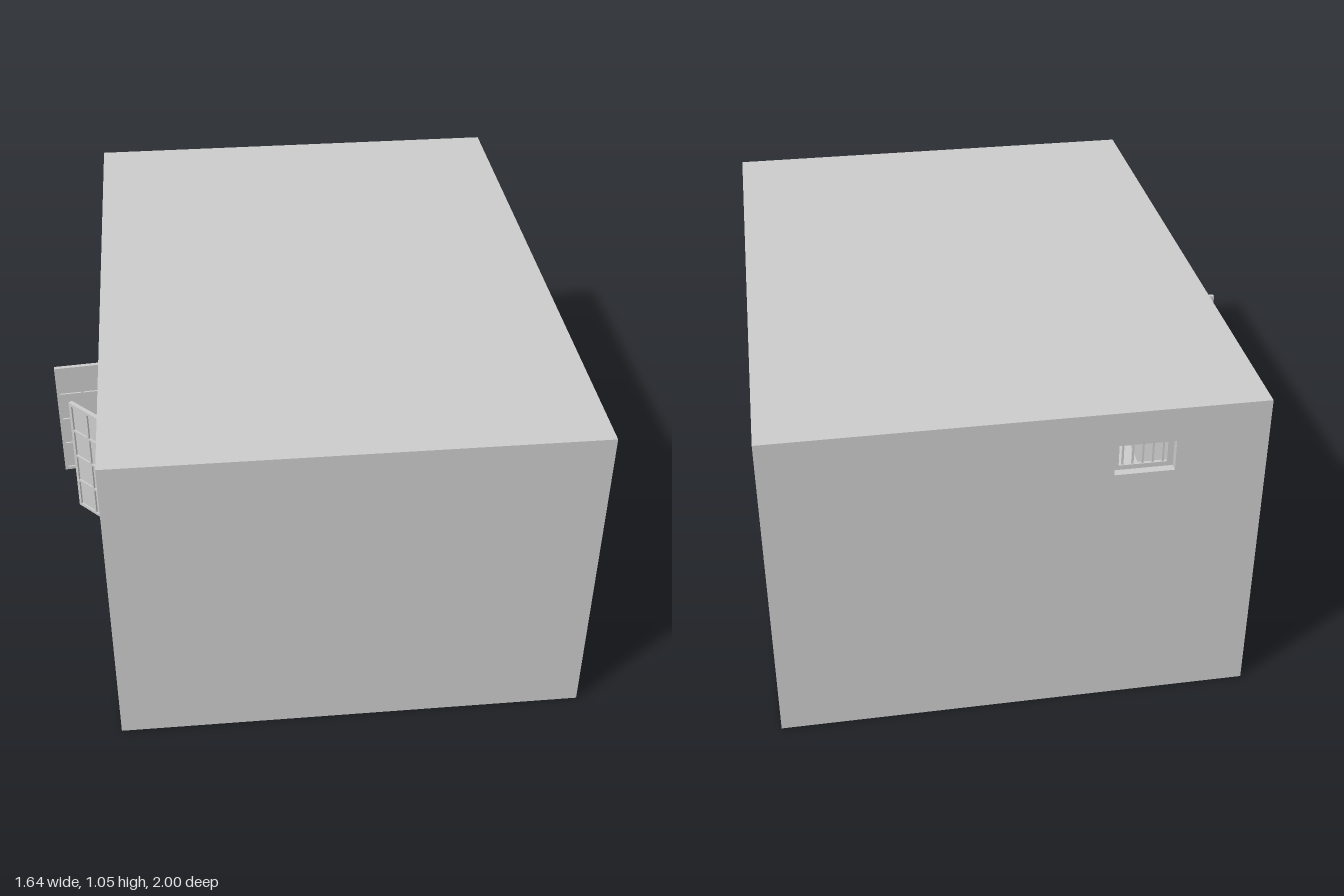
import * as THREE from 'three';

const grey = new THREE.MeshStandardMaterial({ color: 0xcccccc, side: THREE.DoubleSide });

function mesh(parent, name, geometry) {
  const m = new THREE.Mesh(geometry, grey);
  m.name = name;
  parent.add(m);
  return m;
}

// Box given by its minimum and maximum corners
function box(parent, name, [x0, y0, z0], [x1, y1, z1]) {
  const m = mesh(parent, name, new THREE.BoxGeometry(x1 - x0, y1 - y0, z1 - z0));
  m.position.set((x0 + x1) / 2, (y0 + y1) / 2, (z0 + z1) / 2);
  return m;
}

function rect(target, x0, y0, x1, y1) {
  target.moveTo(x0, y0);
  target.lineTo(x1, y0);
  target.lineTo(x1, y1);
  target.lineTo(x0, y1);
  target.closePath();
  return target;
}

// Flat panel in the xy plane with rectangular holes
function pierced(outer, holes, depth) {
  const shape = rect(new THREE.Shape(), ...outer);
  holes.forEach(h => shape.holes.push(rect(new THREE.Path(), ...h)));
  return new THREE.ExtrudeGeometry(shape, { depth, bevelEnabled: false });
}

// Glazed window leaf, hinged at its local origin and running along +x
function windowLeaf(from, to) {
  const g = new THREE.Group();
  g.name = 'windowLeaf';
  const dx = to[0] - from[0], dz = to[1] - from[1];
  const w = Math.hypot(dx, dz), y0 = 0.372, h = 0.425, rim = 0.011, bar = 0.008;
  const cw = (w - 2 * rim - bar) / 2, ch = (h - 2 * rim - 3 * bar) / 4;
  const panes = [];
  for (let i = 0; i < 2; i++) {
    for (let j = 0; j < 4; j++) {
      const x = rim + i * (cw + bar), y = y0 + rim + j * (ch + bar);
      panes.push([x, y, x + cw, y + ch]);
    }
  }
  mesh(g, 'leafFrame', pierced([0, y0, w, y0 + h], panes, 0.014)).position.z = -0.007;
  box(g, 'glass', [rim / 2, y0 + rim / 2, -0.001], [w - rim / 2, y0 + h - rim / 2, 0.001]);
  g.position.set(from[0], 0, from[1]);
  g.rotation.y = Math.atan2(-dz, dx);
  return g;
}

// Raised door panel: a truncated pyramid facing +z inside a moulding
function doorPanel(parent, x0, y0, x1, y1, z) {
  const inset = 0.035;
  const moulding = pierced([x0, y0, x1, y1], [[x0 + 0.012, y0 + 0.012, x1 - 0.012, y1 - 0.012]], 0.006);
  mesh(parent, 'panelMoulding', moulding).position.z = z;
  const geo = new THREE.BoxGeometry(x1 - x0 - 0.03, y1 - y0 - 0.03, 0.008);
  const p = geo.attributes.position;
  for (let i = 0; i < p.count; i++) {
    if (p.getZ(i) > 0) {
      p.setX(i, p.getX(i) - Math.sign(p.getX(i)) * inset);
      p.setY(i, p.getY(i) - Math.sign(p.getY(i)) * inset);
    }
  }
  geo.computeVertexNormals();
  mesh(parent, 'raisedPanel', geo).position.set((x0 + x1) / 2, (y0 + y1) / 2, z + 0.004);
}

// Skirting board with a sloped top, running along x against a wall
function skirting(parent, x0, x1, wallZ, facing) {
  const s = new THREE.Shape();
  s.moveTo(0, 0);
  s.lineTo(0.01, 0);
  s.lineTo(0.01, 0.025);
  s.lineTo(0.004, 0.035);
  s.lineTo(0, 0.035);
  s.closePath();
  const geo = new THREE.ExtrudeGeometry(s, { depth: x1 - x0, bevelEnabled: false });
  const m = mesh(parent, 'skirtingBoard', geo);
  m.rotation.y = -facing * Math.PI / 2;
  m.position.set(facing > 0 ? x1 : x0, 0.05, wallZ);
}

export function createModel() {
  const root = new THREE.Group();
  root.name = 'room';
  const X0 = -0.65, X1 = 0.82, H = 1.05, T = 0.05;

  // Shell, open on the +x side
  box(root, 'floor', [X0, 0, -1], [X1, T, 1]);
  box(root, 'ceiling', [X0, H - T, -1], [X1, H, 1]);
  box(root, 'frontWall', [X0, T, 1 - T], [X1, H - T, 1]);
  const vent = [-0.375, 0.84, -0.195, 0.94];
  mesh(root, 'backWall', pierced([X0, T, X1, H - T], [vent], T)).position.z = -1;
  const side = mesh(root, 'windowWall', pierced([-1 + T, T, 1 - T, H - T], [[0.085, 0.35, 0.44, 0.8]], T));
  side.rotation.y = -Math.PI / 2;
  side.position.x = X0 + T;

  // Window: frame lining, sill and two open leaves
  const win = new THREE.Group();
  win.name = 'window';
  root.add(win);
  const lining = mesh(win, 'windowFrame',
    pierced([0.08, 0.365, 0.445, 0.805], [[0.088, 0.37, 0.436, 0.798]], 0.015));
  lining.rotation.y = -Math.PI / 2;
  lining.position.x = X0 + 0.015;
  box(win, 'windowSill', [-0.667, 0.348, 0.082], [X0 + T, 0.37, 0.442]);
  win.add(windowLeaf([-0.652, 0.422], [-0.763, 0.305]));
  win.add(windowLeaf([-0.652, 0.09], [-0.823, 0.105]));

  // Vent: rim with upright slats set inside the wall opening
  const grille = new THREE.Group();
  grille.name = 'vent';
  root.add(grille);
  const [vx0, vy0, vx1, vy1] = vent;
  mesh(grille, 'ventRim', pierced(vent, [[vx0 + 0.018, vy0 + 0.015, vx1 - 0.018, vy1 - 0.015]], 0.01))
    .position.z = -0.975;
  for (let i = 1; i <= 5; i++) {
    const x = vx0 + (vx1 - vx0) * i / 6;
    box(grille, 'ventSlat', [x - 0.003, vy0 + 0.01, -0.972], [x + 0.003, vy1 - 0.01, -0.966]);
  }

  // Panelled door on the inside of the back wall
  const door = new THREE.Group();
  door.name = 'door';
  root.add(door);
  const dx0 = 0.21, dx1 = 0.57, top = 0.9, z = -0.95;
  box(door, 'doorLeaf', [dx0, T, z - 0.01], [dx1, top, z + 0.004]);
  doorPanel(door, dx0 + 0.05, 0.1, dx1 - 0.04, 0.31, z + 0.004);
  doorPanel(door, dx0 + 0.05, 0.44, dx1 - 0.04, 0.85, z + 0.004);
  box(door, 'doorTrim', [dx0 - 0.035, T, z], [dx0, top + 0.035, z + 0.008]);
  box(door, 'doorTrim', [dx1, T, z], [dx1 + 0.035, top + 0.035, z + 0.008]);
  box(door, 'doorTrim', [dx0, top, z], [dx1, top + 0.035, z + 0.008]);
  const rose = mesh(door, 'knobStem', new THREE.CylinderGeometry(0.005, 0.008, 0.016, 16));
  rose.rotation.x = Math.PI / 2;
  rose.position.set(dx0 + 0.022, 0.37, z + 0.012);
  const knob = mesh(door, 'doorKnob', new THREE.SphereGeometry(0.01, 16, 12));
  knob.position.set(dx0 + 0.022, 0.37, z + 0.024);

  // Skirting boards, broken at the door
  skirting(root, X0 + T, dx0 - 0.035, z, 1);
  skirting(root, dx1 + 0.035, X1 - 0.01, z, 1);
  skirting(root, X0 + T, X1 - 0.01, -z, -1);
  return root;
}
